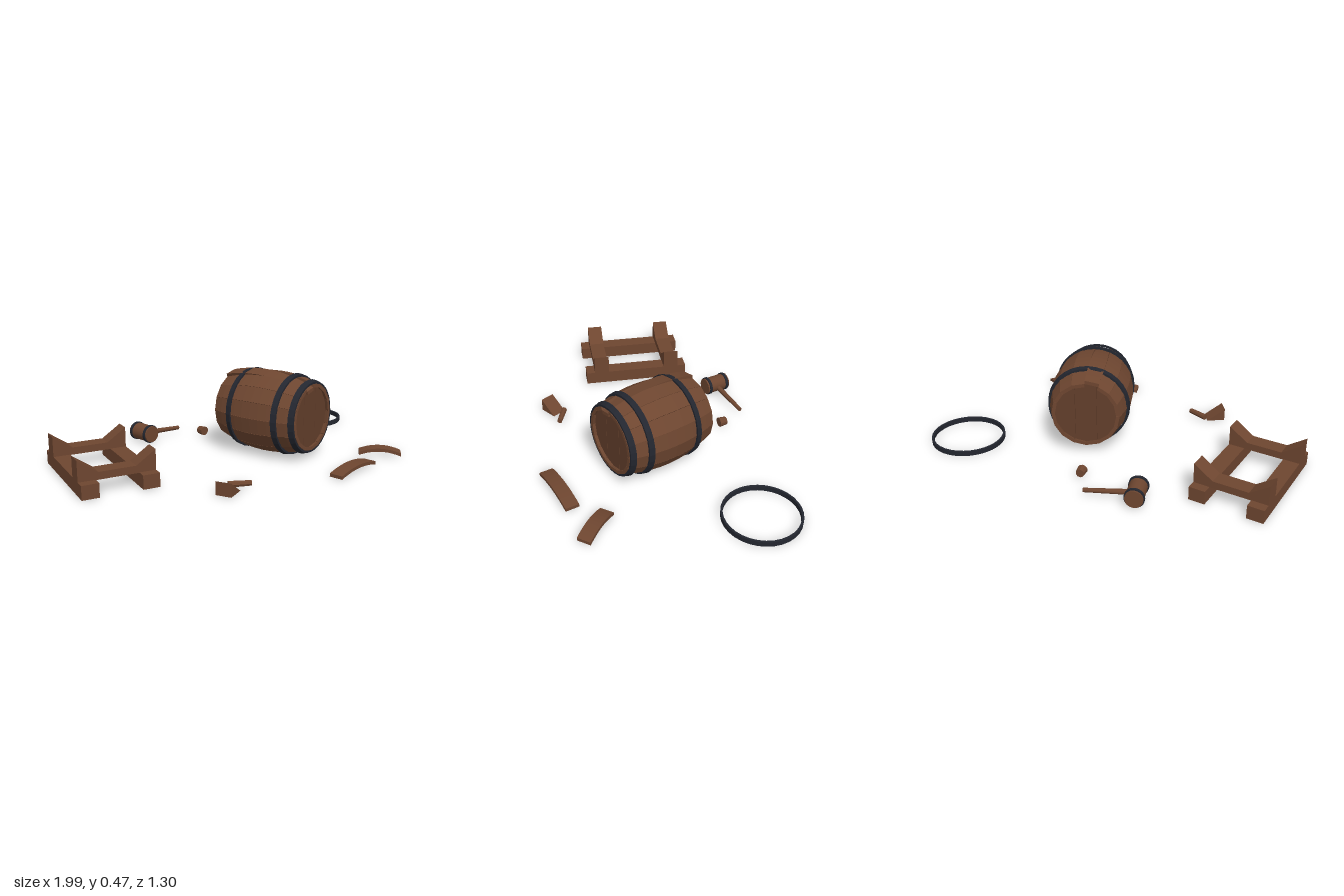
import * as THREE from 'three';

const mat = (name, color) => {
  const m = new THREE.MeshStandardMaterial({ color });
  m.name = name;
  return m;
};

export function createModel() {
  const wood = mat('wood', 0x6e4630);
  const headWood = mat('dark wood', 0x623e2b);
  const iron = mat('iron', 0x23262f);
  const model = new THREE.Group();
  model.name = 'cooperSet';

  const add = (parent, name, geometry, material, x = 0, y = 0, z = 0) => {
    const mesh = new THREE.Mesh(geometry, material);
    mesh.name = name;
    mesh.position.set(x, y, z);
    parent.add(mesh);
    return mesh;
  };
  const group = (name, x, y, z, ry) => {
    const g = new THREE.Group();
    g.name = name;
    g.position.set(x, y, z);
    g.rotation.y = ry;
    model.add(g);
    return g;
  };
  // Moves every vertex of a geometry by a rule and makes it faceted
  const bend = (geometry, rule) => {
    const p = geometry.attributes.position;
    for (let i = 0; i < p.count; i++) p.setXYZ(i, ...rule(p.getX(i), p.getY(i), p.getZ(i)));
    const flat = geometry.toNonIndexed();
    flat.computeVertexNormals();
    return flat;
  };
  // Flat iron band around the y axis, radius a at the bottom and b at the top
  const band = (a, b, h, thick) => {
    const pts = [[a - thick, -h / 2], [a, -h / 2], [b, h / 2], [b - thick, h / 2], [a - thick, -h / 2]];
    const g = new THREE.LatheGeometry(pts.map(([r, y]) => new THREE.Vector2(r, y)), 32);
    return bend(g, (x, y, z) => [x, y, z]);
  };
  const prism = (points, depth) => {
    const s = new THREE.Shape(points.map(([x, y]) => new THREE.Vector2(x, y)));
    const g = new THREE.ExtrudeGeometry(s, { depth, bevelEnabled: false });
    return g.translate(0, 0, -depth / 2);
  };

  // Barrel lying on its side, axis along local z
  const barrel = group('barrel', 0.22, 0.235, 0.02, 25 * Math.PI / 180);
  const half = 0.27, staves = 16;
  const radius = t => 0.235 - 0.045 * (t / half) ** 2;
  for (let i = 0; i < staves; i++) {
    const tilt = i === staves - 1 ? 0.07 : 0; // one loose stave
    const g = bend(new THREE.BoxGeometry(1, 1, 2 * half, 1, 1, 10), (u, v, t) => {
      const r = radius(t) + (v - 0.5) * 0.02 - tilt * t;
      const a = (i + 0.5 + u * 0.985) * 2 * Math.PI / staves;
      return [r * Math.sin(a), r * Math.cos(a), t];
    });
    add(barrel, 'barrelStave', g, wood);
  }

  // Barrel hoops, the rear end hoop is missing
  for (const t of [-0.148, 0.155, 0.253]) {
    const h = 0.03;
    const hoop = add(barrel, 'barrelHoop',
      band(radius(t - h / 2) + 0.01, radius(t + h / 2) + 0.01, h, 0.012), iron, 0, 0, t);
    hoop.rotation.x = Math.PI / 2;
  }

  // Barrel heads of three planks each
  const R = 0.18;
  for (const side of [-1, 1]) {
    for (const k of [-1, 0, 1]) {
      const top = [], bottom = [];
      for (let j = 0; j <= 8; j++) {
        const x = k * 0.12 + (j / 8 - 0.5) * 0.118;
        const y = Math.sqrt(Math.max(R * R - x * x, 0.00001));
        top.unshift([x, y]);
        bottom.push([x, -y]);
      }
      add(barrel, 'headPlank', prism([...bottom, ...top], 0.02), headWood, 0, 0, side * 0.24);
    }
  }

  // Spare hoop on the ground
  add(model, 'looseHoop', band(0.21, 0.21, 0.028, 0.012), iron, 0.782, 0.014, -0.443);

  // Cradle: two runners and two cross beams with wedges
  const rack = group('cradle', -0.797, 0, -0.025, 0);
  const wedge = [[0, 0], [0.105, 0], [0, 0.072]];
  for (const s of [-1, 1]) {
    add(rack, 'runner', new THREE.BoxGeometry(0.09, 0.075, 0.64), wood, s * 0.157, 0.0375, 0);
    const z = s * 0.223;
    add(rack, 'crossBeam', new THREE.BoxGeometry(0.405, 0.04, 0.09), wood, 0, 0.093, z);
    add(rack, 'cradleWedge', prism(wedge, 0.09), wood, -0.2025, 0.113, z);
    const mirrored = add(rack, 'cradleWedge', prism(wedge, 0.09), wood, 0.2025, 0.113, z);
    mirrored.rotation.y = Math.PI;
  }

  // Loose wedge and peg
  const loose = group('looseWedge', -0.335, 0, 0.53, 37 * Math.PI / 180);
  add(loose, 'wedge', prism(wedge, 0.085), wood, -0.0525, 0, 0);
  const pegGroup = group('peg', -0.245, 0.018, 0.485, -17 * Math.PI / 180);
  const peg = add(pegGroup, 'pegShaft', bend(new THREE.CylinderGeometry(0.018, 0.015, 0.12, 8), (x, y, z) => [x, y, z]), wood);
  peg.rotation.z = Math.PI / 2;

  // Bung
  const bung = group('bung', -0.008, 0.027, -0.443, 15 * Math.PI / 180);
  const plug = add(bung, 'bungPlug', bend(new THREE.CylinderGeometry(0.028, 0.024, 0.045, 10), (x, y, z) => [x, y, z]), wood);
  plug.rotation.x = Math.PI / 2;

  // Mallet: head along local z, handle along local x
  const mallet = group('mallet', -0.376, 0.054, -0.49, 19 * Math.PI / 180);
  const malletHead = add(mallet, 'malletHead', new THREE.CylinderGeometry(0.049, 0.049, 0.15, 16), wood);
  malletHead.rotation.x = Math.PI / 2;
  for (const s of [-1, 1]) {
    const ring = add(mallet, 'malletBand', band(0.054, 0.054, 0.016, 0.008), iron, 0, 0, s * 0.058);
    ring.rotation.x = Math.PI / 2;
  }
  const handle = add(mallet, 'malletHandle', new THREE.CylinderGeometry(0.016, 0.012, 0.27, 10), wood, 0.145, -0.018, 0);
  handle.rotation.z = Math.PI / 2 - 0.09;

  // Curved staves lying on the ground
  for (const [x, z, angle, length, rise] of [[0.41, 0.55, 20.5, 0.33, 0.022], [0.717, 0.39, -36, 0.235, 0.024]]) {
    const g = bend(new THREE.BoxGeometry(length, 0.018, 0.077, 10, 1, 1), (px, py, pz) =>
      [px, py + 0.009 + rise * (1 - (2 * px / length) ** 2), pz]);
    add(model, 'looseStave', g, wood, x, 0, z).rotation.y = angle * Math.PI / 180;
  }
  return model;
}
